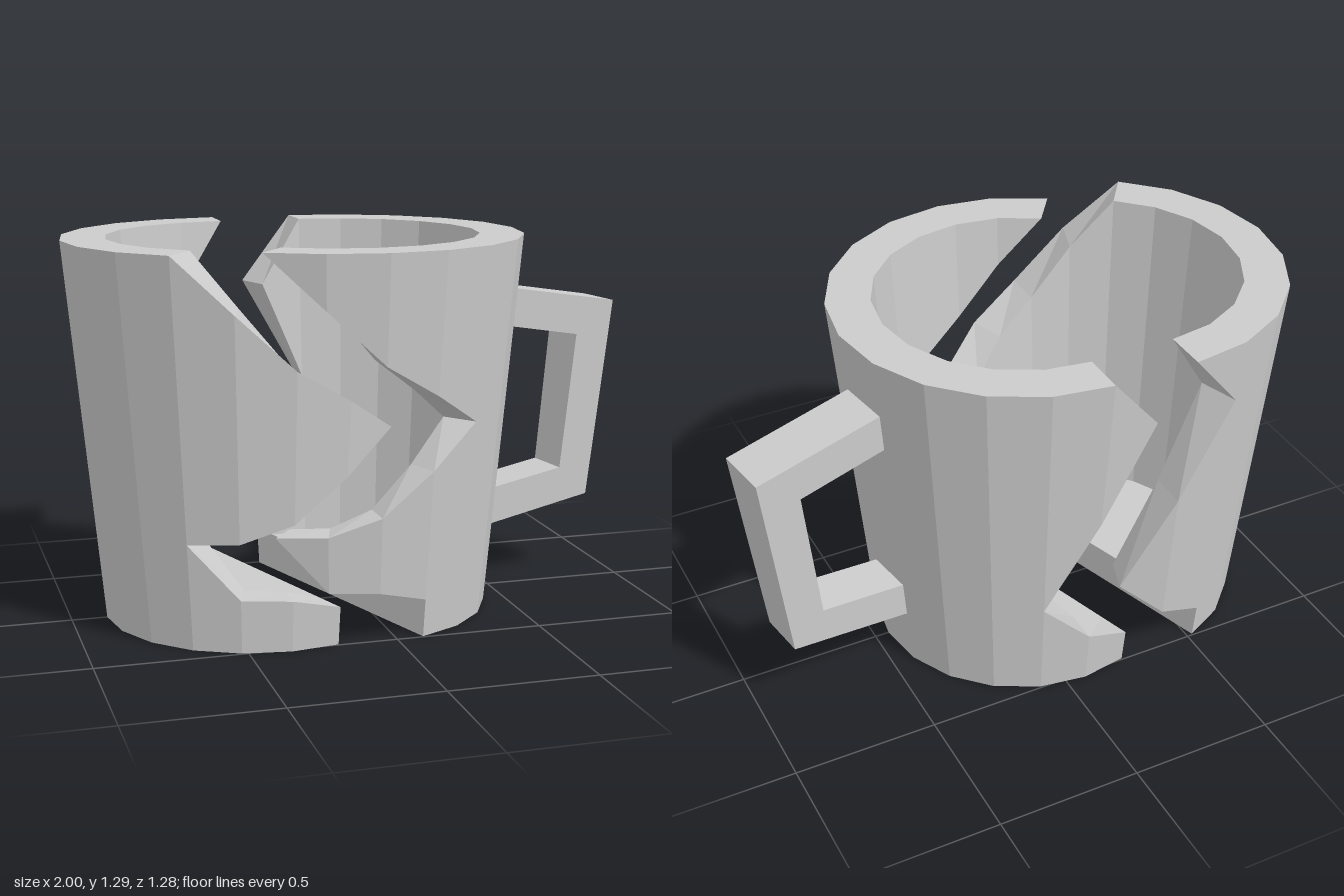
import * as THREE from 'three';

const H = 1.29, FLOOR = 0.13, STEP = Math.PI / 10; // 20-sided mug
const outer = (y) => 0.52 + 0.12 * y / H;
const inner = (y) => 0.42 + 0.07 * (y - FLOOR) / (H - FLOOR);

// Crack lines as [column, height]; column 0 faces +z, columns run towards +x
const frontCrack = [[-2, H], [-1, 1.11], [0, 0.93], [1, 0.82], [2, 0.71], [1, 0.57], [0, 0.43],
  [-1, 0.37], [-2, 0.36], [-1, 0.18], [0, 0.172], [1, FLOOR]];
const backCrack = [[10, H], [11, 1.06], [10, 0.715], [9, 0.37], [10, 0.2], [11, FLOOR]];

const onOuter = (k, y) => [outer(y) * Math.sin(k * STEP), y, outer(y) * Math.cos(k * STEP)];
const onInner = (k, y) => {
  const h = Math.max(y, FLOOR);
  return [inner(h) * Math.sin(k * STEP), h, inner(h) * Math.cos(k * STEP)];
};

// Collects flat quads and triangles into one mesh
class Faces {
  constructor() { this.pos = []; }
  tri(a, b, c) { this.pos.push(...a, ...b, ...c); }
  quad(a, b, c, d) { this.tri(a, b, c); this.tri(a, c, d); }
  mesh(name) {
    const g = new THREE.BufferGeometry();
    g.setAttribute('position', new THREE.Float32BufferAttribute(this.pos, 3));
    g.computeVertexNormals();
    const m = new THREE.Mesh(g, new THREE.MeshStandardMaterial({ color: 0xcccccc, flatShading: true }));
    m.name = name;
    return m;
  }
}

// Crack segments crossing the strip between columns k and k+1, lowest first
function cutsInStrip(k) {
  const cuts = [];
  for (const path of [frontCrack, backCrack]) {
    for (let i = 0; i + 1 < path.length; i++) {
      const [a, b] = [path[i], path[i + 1]].sort((p, q) => p[0] - q[0]);
      if (a[0] === k) cuts.push([a[1], b[1]]);
    }
  }
  return cuts.sort((p, q) => p[0] + p[1] - q[0] - q[1]);
}

// One broken half of the cup: wall cells, rim, crack faces and half floor
function cupHalf(isRight) {
  const f = new Faces();
  for (let k = -3; k < 17; k++) {
    const bottomIsRight = k >= 1 && k < 11;
    const levels = [[0, 0], ...cutsInStrip(k), [H, H]];
    for (let i = 0; i + 1 < levels.length; i++) {
      if ((bottomIsRight === (i % 2 === 0)) !== isRight) continue; // halves alternate across each cut
      const [l0, l1] = levels[i], [h0, h1] = levels[i + 1];
      f.quad(onOuter(k, l0), onOuter(k + 1, l1), onOuter(k + 1, h1), onOuter(k, h0));
      f.quad(onInner(k, h0), onInner(k + 1, h1), onInner(k + 1, l1), onInner(k, l0));
      f.quad(onOuter(k, h0), onOuter(k + 1, h1), onInner(k + 1, h1), onInner(k, h0));
      if (i > 0) f.quad(onInner(k, l0), onInner(k + 1, l1), onOuter(k + 1, l1), onOuter(k, l0));
    }
    if (bottomIsRight === isRight) {
      f.tri([0, 0, 0], onOuter(k + 1, 0), onOuter(k, 0));
      f.tri([0, FLOOR, 0], onInner(k, FLOOR), onInner(k + 1, FLOOR));
    }
  }
  // Straight break through the floor
  const [a, b] = isRight ? [11, 1] : [1, 11];
  f.quad(onOuter(a, 0), onOuter(b, 0), onOuter(b, FLOOR), onOuter(a, FLOOR));
  return f.mesh(isRight ? 'leftCupHalf' : 'rightCupHalf');
}

// Angular handle growing out of one wall facet
function handle() {
  const f = new Faces();
  const front = ([x, y]) => [x, y, -0.18 * (x - outer(y))];
  const back = (p) => {
    const [x, y, z] = front(p), r = outer(y);
    return [x - 0.049 * r, y, z - 0.305 * r];
  };
  const A = [[outer(1.08), 1.08], [1.07, 1.005], [0.98, 0.29], [outer(0.215), 0.215]];
  const B = [[outer(0.945), 0.945], [0.92, 0.89], [0.865, 0.4], [outer(0.35), 0.35]];
  for (let i = 0; i < 3; i++) {
    const j = i + 1;
    f.quad(front(A[i]), front(B[i]), front(B[j]), front(A[j]));
    f.quad(back(A[j]), back(B[j]), back(B[i]), back(A[i]));
    f.quad(front(A[i]), front(A[j]), back(A[j]), back(A[i]));
    f.quad(back(B[i]), back(B[j]), front(B[j]), front(B[i]));
  }
  return f.mesh('handle');
}

export function createModel() {
  const model = new THREE.Group();
  model.name = 'brokenMug';
  const plainHalf = new THREE.Group();
  plainHalf.name = 'plainHalf';
  plainHalf.add(cupHalf(false));
  plainHalf.position.x = -0.36;
  const handleHalf = new THREE.Group();
  handleHalf.name = 'handleHalf';
  handleHalf.add(cupHalf(true), handle());
  handleHalf.position.x = -0.07;
  model.add(plainHalf, handleHalf);
  return model;
}
